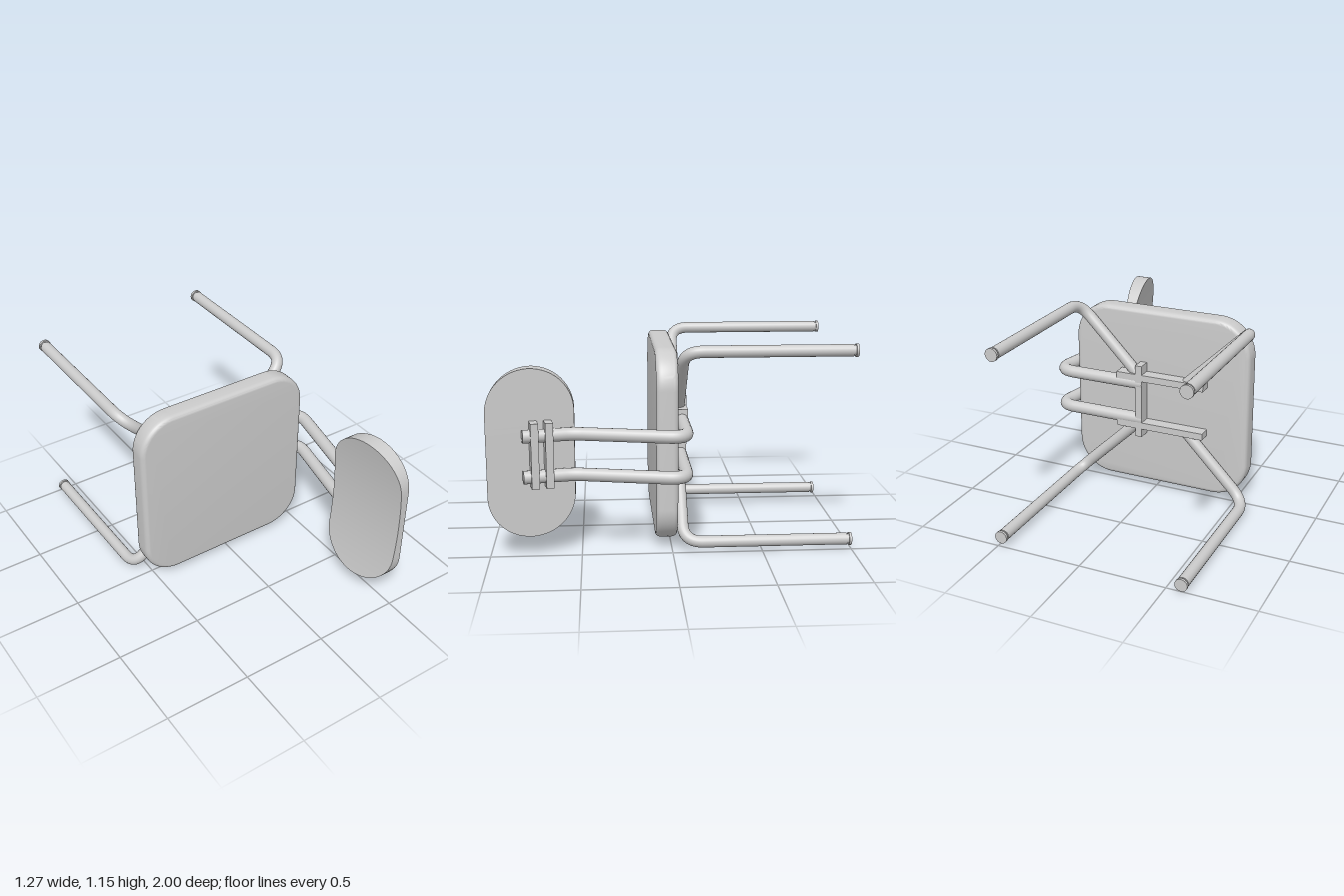
import * as THREE from 'three';
import { toCreasedNormals } from 'three/addons/utils/BufferGeometryUtils.js';

const material = new THREE.MeshStandardMaterial({ color: 0xcccccc });
const V = (x, y, z) => new THREE.Vector3(x, y, z);

function addMesh(parent, name, geometry, x = 0, y = 0, z = 0) {
  const mesh = new THREE.Mesh(geometry, material);
  mesh.name = name;
  mesh.position.set(x, y, z);
  parent.add(mesh);
  return mesh;
}

// Bent pipe: straight runs joined by rounded corners, closed with discs
function addPipe(parent, name, points, cuts, radius) {
  const path = new THREE.CurvePath();
  let from = points[0];
  for (let i = 1; i < points.length - 1; i++) {
    const p = points[i];
    const toward = (q) => p.clone().add(q.clone().sub(p).setLength(cuts[i - 1]));
    const a = toward(points[i - 1]);
    const b = toward(points[i + 1]);
    path.add(new THREE.LineCurve3(from, a));
    path.add(new THREE.QuadraticBezierCurve3(a, p, b));
    from = b;
  }
  path.add(new THREE.LineCurve3(from, points[points.length - 1]));
  addMesh(parent, name, new THREE.TubeGeometry(path, 90, radius, 20));
  const n = points.length - 1;
  for (const [end, before] of [[points[0], points[1]], [points[n], points[n - 1]]]) {
    const cap = addMesh(parent, name + 'End', new THREE.CircleGeometry(radius, 20), end.x, end.y, end.z);
    cap.lookAt(end.clone().multiplyScalar(2).sub(before));
  }
}

// Cushioned square seat with rounded corners and edges
function seatGeometry() {
  const bevel = 0.025, h = 0.54 - bevel, r = 0.185;
  const s = new THREE.Shape();
  s.absarc(h - r, h - r, r, 0, Math.PI / 2);
  s.absarc(r - h, h - r, r, Math.PI / 2, Math.PI);
  s.absarc(r - h, r - h, r, Math.PI, Math.PI * 1.5);
  s.absarc(h - r, r - h, r, Math.PI * 1.5, Math.PI * 2);
  s.closePath();
  const g = new THREE.ExtrudeGeometry(s, {
    depth: 0.06, bevelThickness: 0.03, bevelSize: bevel, bevelSegments: 5, curveSegments: 12,
  });
  return toCreasedNormals(g, 0.6);
}

// Stadium-shaped back pad: flat outside, hollowed inside, leaning outward
function backPadGeometry() {
  const g = new THREE.BoxGeometry(1, 1, 1, 1, 40, 1);
  const p = g.attributes.position;
  for (let i = 0; i < p.count; i++) {
    const dy = 0.465 * Math.sin(Math.PI * p.getY(i));
    const over = Math.max(0, Math.abs(dy) - 0.23);
    const half = Math.max(0.01, Math.sqrt(Math.max(0, 0.235 ** 2 - over ** 2)));
    const dz = Math.sign(p.getZ(i)) * half;
    const lean = 0.16 * (dz + 0.235);
    const x = p.getX(i) > 0 ? 0.457 : 0.417 - 0.03 * (dy / 0.37) ** 2;
    p.setXYZ(i, x + lean, 0.58 + dy, 0.765 + dz);
  }
  return toCreasedNormals(g, 0.6);
}

export function createModel() {
  const group = new THREE.Group();
  group.name = 'chair';

  addMesh(group, 'seat', seatGeometry(), -0.035, 0.58, 0);

  // Four legs run out diagonally under the seat, then turn away from it
  const cx = -0.06, cy = 0.58;
  for (const [dx, dy] of [[-0.542, 0.523], [0.525, 0.54], [0.54, -0.522], [-0.523, -0.541]]) {
    const leg = new THREE.Group();
    leg.name = 'leg';
    const x = cx + dx, y = cy + dy;
    addPipe(leg, 'legPipe', [
      V(cx + dx * 0.29, cy + dy * 0.29, -0.06), V(x, y, -0.06), V(x, y, -0.975),
    ], [0.11], 0.033);
    const neck = addMesh(leg, 'footNeck', new THREE.CylinderGeometry(0.028, 0.028, 0.02, 20), x, y, -0.98);
    const foot = addMesh(leg, 'foot', new THREE.CylinderGeometry(0.036, 0.036, 0.014, 20), x, y, -0.993);
    neck.rotation.x = foot.rotation.x = Math.PI / 2;
    group.add(leg);
  }

  // Mounting bars beneath the seat
  for (const y of [0.73, 0.43]) {
    addMesh(group, 'mountingBar', new THREE.BoxGeometry(0.54, 0.04, 0.075), cx, y, -0.067);
  }
  addMesh(group, 'crossBar', new THREE.BoxGeometry(0.04, 0.445, 0.075), 0.07, 0.582, -0.068);

  // Back support pipes
  for (const y of [0.688, 0.463]) {
    addPipe(group, 'backSupport', [
      V(0.05, y, -0.072), V(0.615, y, -0.072), V(0.488, y, 0.53), V(0.542, y, 0.805),
    ], [0.11, 0.05], 0.036);
  }

  // Slats clamping the back pad to its supports
  for (const [x, z] of [[0.52, 0.667], [0.533, 0.744]]) {
    const slat = addMesh(group, 'backSlat', new THREE.BoxGeometry(0.08, 0.36, 0.042), x, 0.583, z);
    slat.rotation.y = 0.18;
  }

  addMesh(group, 'backPad', backPadGeometry());
  return group;
}
